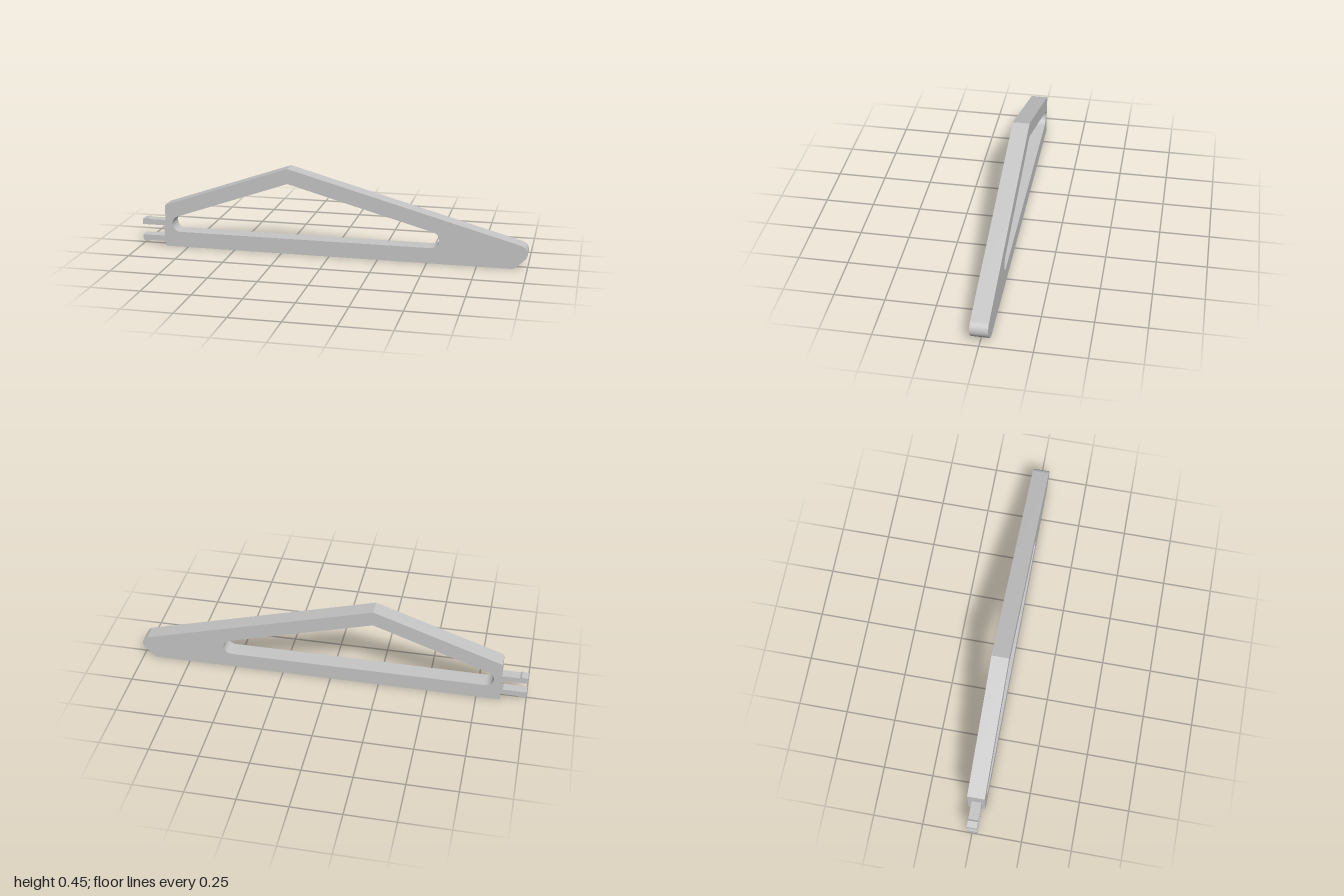
import * as THREE from 'three';
import { toCreasedNormals } from 'three/addons/utils/BufferGeometryUtils.js';

const grey = new THREE.MeshStandardMaterial({ color: 0xc6c6c6 });
grey.name = 'grey plastic';

// Extrude a profile centred on z = 0, smooth on arcs and sharp on corners
function plate(name, shape, depth) {
  const geo = new THREE.ExtrudeGeometry(shape, { depth, bevelEnabled: false, curveSegments: 16 });
  geo.translate(0, 0, -depth / 2);
  // Creasing merges points closer than 0.01, so do it at a larger scale
  const creased = toCreasedNormals(geo.scale(100, 100, 100), 0.4).scale(0.01, 0.01, 0.01);
  const mesh = new THREE.Mesh(creased, grey);
  mesh.name = name;
  return mesh;
}

export function createModel() {
  const group = new THREE.Group();
  group.name = 'bracketArm';
  const left = Math.atan2(0.227, 0.655);
  const right = Math.atan2(0.327, 1.185);
  const up = Math.PI / 2;

  // Arm outline with rounded tip and chamfered underside
  const arm = new THREE.Shape();
  arm.moveTo(-0.87, 0);
  arm.lineTo(0.92, 0);
  arm.quadraticCurveTo(0.936, 0, 0.946, 0.009);
  arm.lineTo(0.987, 0.05);
  arm.absarc(0.957, 0.08, 0.043, -Math.PI / 4, up - right, false);
  arm.lineTo(-0.215, 0.447);
  arm.lineTo(-0.87, 0.22);
  arm.closePath();

  // Triangular window with rounded lower corners and a pointed top
  const hole = new THREE.Path();
  hole.absarc(-0.79, 0.122, 0.042, up + left, up * 3, false);
  hole.absarc(0.52, 0.122, 0.042, -up, up - right, false);
  hole.lineTo(-0.215, 0.369);
  hole.closePath();
  arm.holes.push(hole);
  group.add(plate('arm', arm, 0.087));

  // Forked clip: two prongs with outward barbs, joined by a thin base
  const mid = 0.077;
  const half = [
    [-0.865, 0.057], [-0.96, 0.057], [-0.968, 0.063],
    [-1, 0.057], [-1, 0.028], [-0.881, 0.028],
  ];
  const clip = new THREE.Shape([
    ...half.map(([x, y]) => new THREE.Vector2(x, mid + y)),
    ...half.slice().reverse().map(([x, y]) => new THREE.Vector2(x, mid - y)),
  ]);
  const clipMesh = plate('forkedClip', clip, 0.05);
  clipMesh.position.z = 0.002;
  group.add(clipMesh);

  return group;
}
